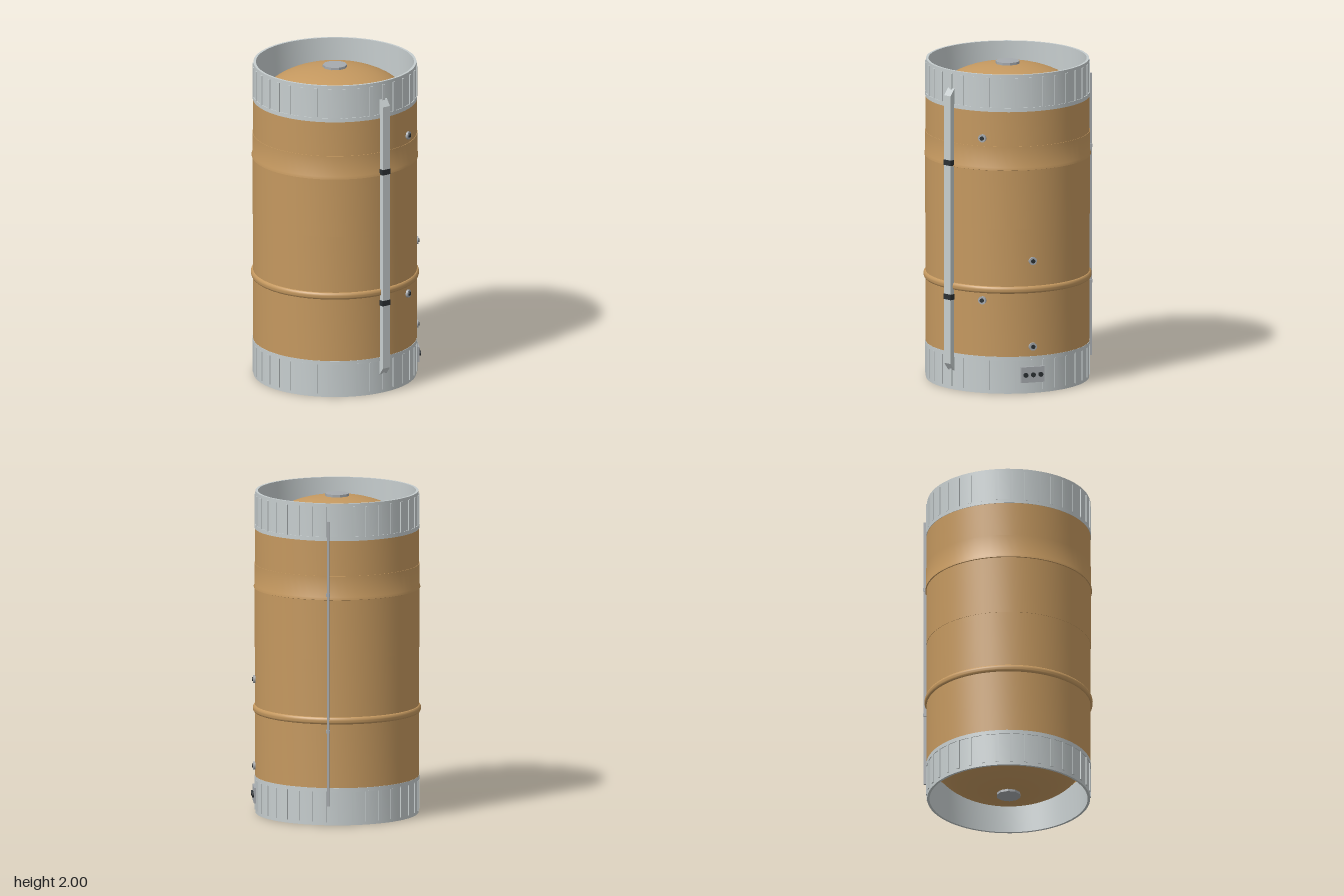
import * as THREE from 'three';
import { toCreasedNormals } from 'three/addons/utils/BufferGeometryUtils.js';

const mat = (name, color) => new THREE.MeshStandardMaterial({ name, color });

export function createModel() {
  const orange = mat('foam orange', 0xc4985f);
  const paleGrey = mat('pale grey', 0xc6cdce);
  const grey = mat('metal grey', 0xa6aaae);
  const black = mat('black', 0x2b3033);

  const model = new THREE.Group();
  model.name = 'propellantTank';
  const tank = new THREE.Group();
  tank.name = 'tank';
  tank.position.z = -0.01;
  model.add(tank);

  const add = (name, geometry, material, parent = tank) => {
    const mesh = new THREE.Mesh(geometry, material);
    mesh.name = name;
    parent.add(mesh);
    return mesh;
  };
  const lathe = (pts, segments = 64, crease = 0.5) =>
    toCreasedNormals(new THREE.LatheGeometry(pts.map(([r, y]) => new THREE.Vector2(r, y)), segments), crease);
  // A group on the tank wall whose +z axis points outward; angle is measured from the front
  const onWall = (name, degrees, radius, y) => {
    const a = THREE.MathUtils.degToRad(degrees);
    const g = new THREE.Group();
    g.name = name;
    g.position.set(Math.sin(a) * radius, y, Math.cos(a) * radius);
    g.rotation.y = a;
    tank.add(g);
    return g;
  };
  const disc = (name, r, depth, z, material, parent, x = 0) => {
    const mesh = add(name, new THREE.CylinderGeometry(r, r, depth, 14).rotateX(Math.PI / 2), material, parent);
    mesh.position.set(x, 0, z);
    return mesh;
  };

  // Outer wall with a slightly thicker middle, a thin upper lip and a round lower bead
  const bead = [];
  for (let i = 0; i <= 10; i++) {
    const t = (i / 10) * Math.PI;
    bead.push([0.503 + 0.013 * Math.sin(t), 0.65 - 0.022 * Math.cos(t)]);
  }
  add('outerWall', lathe([
    [0.488, 0.22], [0.503, 0.22], ...bead,
    [0.503, 1.03], [0.505, 1.03], [0.505, 1.4], [0.511, 1.402], [0.511, 1.408], [0.506, 1.418],
    [0.506, 1.55], [0.503, 1.55], [0.503, 1.78], [0.488, 1.78], [0.488, 0.22],
  ]), orange);

  // Inner vessel with domed ends
  const vessel = [];
  for (let i = 0; i <= 14; i++) {
    const t = (i / 14) * Math.PI / 2;
    vessel.push([0.47 * Math.sin(t), 0.28 - 0.25 * Math.cos(t)]);
  }
  const upper = vessel.map(([r, y]) => [r, 2 - y]).reverse();
  add('innerVessel', lathe([...vessel, ...upper], 64, 0.7), orange);

  // End skirts, domes' hatch covers and stiffener ribs
  for (const end of [0, 1]) {
    const y = (h) => (end ? 2 - h : h);
    const label = end ? 'upper' : 'lower';
    const profile = [[0.485, 0], [0.5, 0], [0.5, 0.207], [0.505, 0.207], [0.505, 0.232], [0.485, 0.232], [0.485, 0]]
      .map(([r, h]) => [r, y(h)]);
    add(label + 'Skirt', lathe(end ? profile.reverse() : profile), paleGrey);

    const hatch = add(label + 'Hatch',
      new THREE.CylinderGeometry(0.075, 0.075, 0.03, 10, 1, false, Math.PI / 10).toNonIndexed(), grey);
    hatch.geometry.computeVertexNormals();
    hatch.position.y = y(0.033);

    const ribGeometry = new THREE.BoxGeometry(0.02, 0.19, 0.012);
    for (let i = 0; i < 36; i++) {
      const rib = onWall(label + 'SkirtRib', i * 10, 0.5, y(0.115));
      add('rib', ribGeometry, paleGrey, rib);
    }
  }

  // Front cable duct with sloped ends, held by two straps
  const side = new THREE.Shape([
    [0.495, 0.115], [0.503, 0.125], [0.533, 0.165], [0.533, 1.845], [0.503, 1.885], [0.495, 1.89],
  ].map(([z, y]) => new THREE.Vector2(z, y)));
  const duct = new THREE.ExtrudeGeometry(side, { depth: 0.054, bevelEnabled: false });
  duct.translate(0, 0, -0.027).rotateY(-Math.PI / 2);
  add('cableDuct', duct, paleGrey);
  for (const y of [0.583, 1.425]) {
    const strap = add('ductStrap', new THREE.BoxGeometry(0.06, 0.034, 0.035), black);
    strap.position.set(0, y, 0.5175);
  }

  // Slim conduit on the rear left with small clips
  const conduit = onWall('rearConduit', 142.2, 0.511, 1.005);
  add('conduit', new THREE.BoxGeometry(0.014, 1.77, 0.024), grey, conduit);
  for (const y of [-0.42, 0.43]) {
    add('conduitClip', new THREE.BoxGeometry(0.022, 0.02, 0.028), grey, conduit).position.y = y;
  }

  // Round service ports
  for (const [angle, y] of [[26, 1.6], [26, 0.583], [61.5, 0.83], [61.5, 0.293]]) {
    const port = onWall('servicePort', angle, 0.503, y);
    disc('flange', 0.025, 0.016, 0.004, grey, port);
    disc('socket', 0.013, 0.008, 0.014, black, port);
  }

  // Connector panel on the lower skirt
  const panel = onWall('connectorPanel', 61.5, 0.503, 0.118);
  add('plate', new THREE.BoxGeometry(0.15, 0.098, 0.022), grey, panel);
  for (const x of [-0.048, 0, 0.048]) disc('connector', 0.015, 0.016, 0.014, black, panel, x);

  return model;
}
